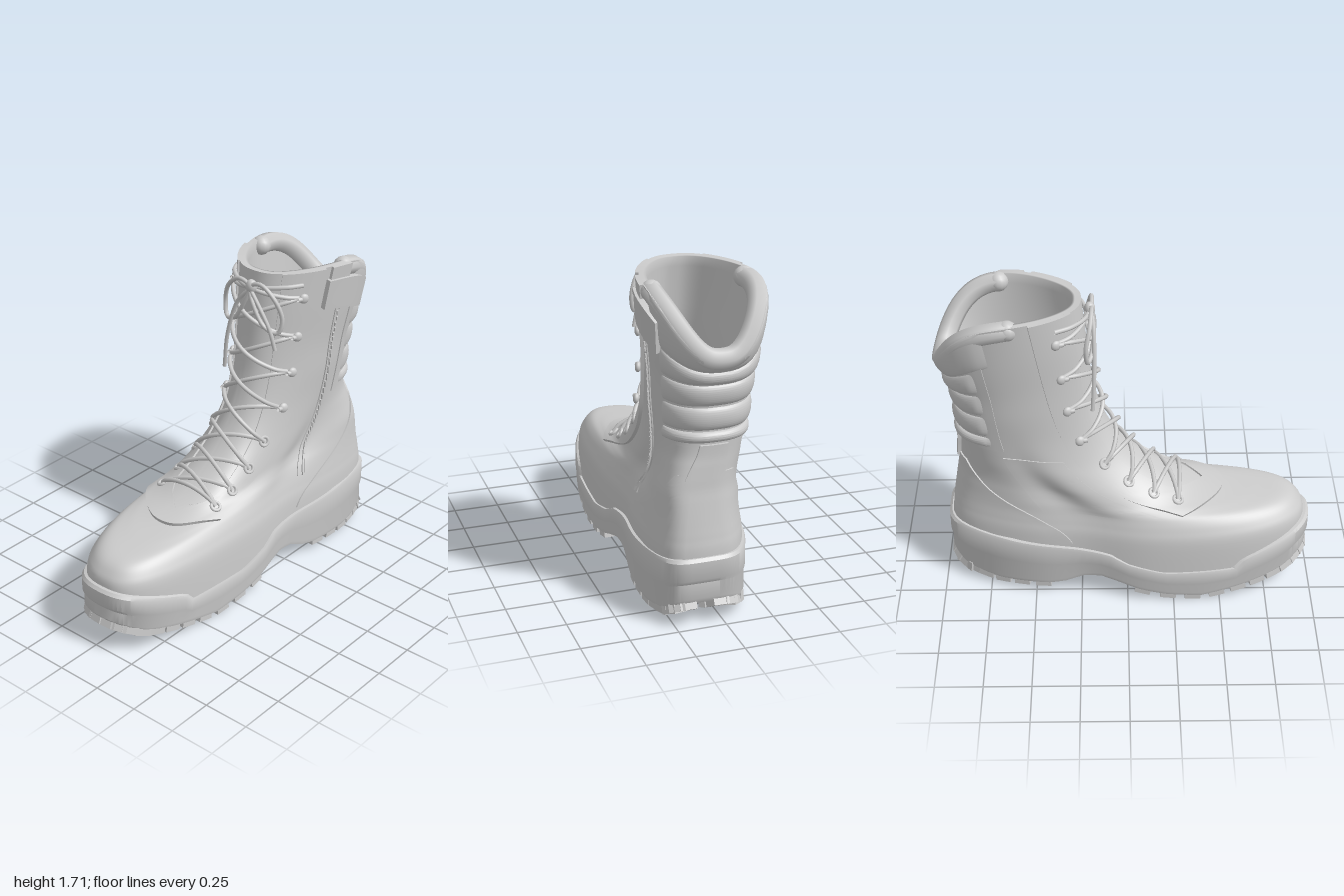
import * as THREE from 'three';
import { toCreasedNormals } from 'three/addons/utils/BufferGeometryUtils.js';
import { RoundedBoxGeometry } from 'three/addons/geometries/RoundedBoxGeometry.js';

const mat = new THREE.MeshStandardMaterial({ color: 0xcccccc, side: THREE.DoubleSide, roughness: 0.8 });
const { lerp, clamp, smoothstep } = THREE.MathUtils;
const V = (x, y, z) => new THREE.Vector3(x, y, z);
const PI = Math.PI;

// Rings of the upper: front z, front y, back z, back y, front/mid/back half-width, droop
const RINGS = [
  [0.96, 0.14, -0.95, 0.20, 0.375, 0.325, 0.31, 1], [0.97, 0.36, -0.95, 0.38, 0.365, 0.315, 0.305, 1],
  [0.94, 0.44, -0.94, 0.46, 0.33, 0.295, 0.295, 1], [0.87, 0.49, -0.93, 0.52, 0.28, 0.275, 0.285, 1],
  [0.72, 0.508, -0.92, 0.58, 0.24, 0.26, 0.275, 1], [0.55, 0.525, -0.91, 0.64, 0.225, 0.245, 0.27, 1],
  [0.40, 0.555, -0.90, 0.70, 0.22, 0.235, 0.265, 1], [0.25, 0.61, -0.895, 0.76, 0.22, 0.23, 0.26, 1],
  [0.10, 0.70, -0.89, 0.82, 0.215, 0.225, 0.26, 1], [-0.02, 0.81, -0.885, 0.88, 0.205, 0.22, 0.26, 1],
  [-0.11, 0.95, -0.885, 0.97, 0.195, 0.22, 0.265, 1], [-0.17, 1.12, -0.89, 1.09, 0.19, 0.23, 0.27, 1],
  [-0.20, 1.30, -0.905, 1.22, 0.195, 0.24, 0.285, 1.3], [-0.22, 1.50, -0.94, 1.31, 0.21, 0.265, 0.305, 3],
  [-0.24, 1.70, -0.985, 1.40, 0.22, 0.29, 0.325, 6],
];
const TOP = RINGS.length - 1;

function ringAt(v) {
  const i = Math.min(Math.floor(v), TOP - 1), t = v - i;
  const [a, b, c, d] = [-1, 0, 1, 2].map(k => RINGS[clamp(i + k, 0, TOP)]);
  return b.map((p, k) => p + 0.5 * t * (c[k] - a[k] + t * (2 * a[k] - 5 * p + 4 * c[k] - d[k] + t * (3 * (p - c[k]) + d[k] - a[k]))));
}
// Blunt oval: angle 0 is the toe, PI the heel. "foot" blends from the straight
// shaft (0) to the curved foot with its waist and square, outset heel (1)
function oval([zf, yf, zb, yb, wa, wb, wc, e], th, foot) {
  const f = (1 - Math.cos(th)) / 2, s = Math.sin(th);
  const waist = 0.035 * foot * Math.exp(-(((f - 0.62) / 0.11) ** 2));
  const w = wa * 2 * (f - 0.5) * (f - 1) + wb * 4 * f * (1 - f) + wc * 2 * f * (f - 0.5) - waist;
  const bend = 0.03 - 0.27 * f + 0.45 * f * f - 0.11 * f ** 3;
  const x = Math.sign(s) * Math.abs(s) ** (0.8 - 0.3 * f * foot) * w + lerp(0.024, bend, foot);
  return V(x, lerp(yf, yb, f ** e), lerp(zf, zb, f));
}
const skin = (v, th) => oval(ringAt(clamp(v, 0, TOP)), th, 1 - smoothstep(v, 5.5, 11));
function normal(v, th) {
  const du = skin(v, th + 0.03).sub(skin(v, th - 0.03));
  const dv = skin(Math.min(v + 0.05, TOP), th).sub(skin(Math.max(v - 0.05, 0), th));
  return du.cross(dv).normalize();
}
const on = (v, th, off = 0) => skin(v, th).addScaledVector(normal(v, th), off);

// Surface from a rule over a grid; wraps in the first direction if asked
function grid(fn, nu, nv, wrap = false) {
  const pos = [], idx = [], row = wrap ? nu : nu + 1;
  for (let j = 0; j <= nv; j++) for (let i = 0; i < row; i++) pos.push(...fn(i, j).toArray());
  for (let j = 0; j < nv; j++) for (let i = 0; i < nu; i++) {
    const a = j * row + i, b = j * row + (i + 1) % row, c = a + row, d = b + row;
    idx.push(a, b, d, a, d, c);
  }
  const g = new THREE.BufferGeometry();
  g.setAttribute('position', new THREE.Float32BufferAttribute(pos, 3));
  g.setIndex(idx);
  g.computeVertexNormals();
  return g;
}
function table(pts, z) {
  for (let i = 0; i < pts.length - 1; i++) {
    const [z0, y0] = pts[i], [z1, y1] = pts[i + 1];
    if (z >= z1) return lerp(y0, y1, clamp((z0 - z) / (z0 - z1), 0, 1));
  }
  return pts[pts.length - 1][1];
}
const soleTop = z => table([[1, 0.37], [0.64, 0.25], [0.6, 0.2], [0.2, 0.195], [0, 0.24], [-0.1, 0.29], [-0.3, 0.31], [-0.6, 0.33], [-0.98, 0.37]], z);
const soleLow = z => table([[1, 0.15], [0.85, 0.09], [0.6, 0.04], [0.4, 0.003], [0.2, 0.02], [0.05, 0.05], [-0.05, 0.085], [-0.15, 0.11],
  [-0.25, 0.095], [-0.33, 0.055], [-0.42, 0.035], [-0.7, 0.025], [-0.88, 0.05], [-0.98, 0.11]], z);
const soleEdge = th => oval([1, 0, -0.98, 0, 0.39, 0.34, 0.33, 1], th, 1);

export function createModel() {
  const boot = new THREE.Group();
  const add = (name, geo, parent = boot) => {
    const m = new THREE.Mesh(geo, mat);
    m.name = name;
    parent.add(m);
    return m;
  };
  const group = name => { const g = new THREE.Group(); g.name = name; boot.add(g); return g; };
  const tube = (name, pts, r, parent, closed = false) =>
    add(name, new THREE.TubeGeometry(new THREE.CatmullRomCurve3(pts, closed), pts.length * 5, r, 7, closed), parent);
  const place = (m, v, th, off) => {
    m.position.copy(on(v, th, off));
    m.quaternion.setFromUnitVectors(V(0, 0, 1), normal(v, th));
    return m;
  };
  // Raised panel lying on the upper, flat or padded; its borders may be numbers or rules
  const patch = (name, v0, v1, a, b, d, padded = false) => {
    const nu = 24, nv = 48, val = (f, k) => typeof f === 'function' ? f(k) : f;
    const geo = grid((i, j) => {
      const u = clamp((i - 1) / (nu - 2), 0, 1), t = clamp((j - 1) / (nv - 2), 0, 1), v = lerp(val(v0, u), v1, t);
      const rim = i === 0 || j === 0 || i === nu || j === nv;
      const puff = padded ? Math.sqrt(4 * t * (1 - t)) * (4 * u * (1 - u)) ** 0.25 : 1;
      return on(v, lerp(val(a, v), val(b, v), u), rim ? -0.012 : d * puff);
    }, nu, nv);
    return add(name, toCreasedNormals(geo, 0.7));
  };

  // Upper, lining and insole
  add('upper', grid((i, j) => skin(j / 5, i / 96 * 2 * PI), 96, TOP * 5, true));
  add('lining', grid((i, j) => {
    const th = i / 96 * 2 * PI;
    return j < 4 ? on(TOP, th, -0.035 * j / 3) : on(lerp(TOP, 1, (j - 3) / 40), th, -0.035);
  }, 96, 43, true));
  add('insole', grid((i, j) => {
    const p = on(1, i / 48 * 2 * PI, -0.03), s = [1, 0.8, 0.77, 0.02][j];
    return V(p.x * s, j < 2 ? 0.37 : 0.385, p.z * s);
  }, 48, 3, true));

  // Panels
  patch('tongue', 5.9, TOP, -0.54, 0.54, 0.008);
  const inner = v => 0.54 * smoothstep(v, 6, 6.6);
  const outer = v => 1.15 + 0.1 * smoothstep(v, 10, TOP);
  const hem = u => 5.2 - 1.7 * u ** 2.5;
  patch('leftEyestay', hem, TOP, inner, outer, 0.018);
  patch('rightEyestay', u => hem(1 - u), TOP, v => -outer(v), v => -inner(v), 0.018);
  const heel = v => 1.35 - 0.13 * v;
  patch('heelCounter', 0.8, 7.4, v => PI - heel(v), v => PI + heel(v), 0.008);
  patch('heelPanel', 9.5, 13.1, PI - 1.15, PI + 1.15, 0.006);
  for (const [a, b] of [[9.7, 10.25], [10.3, 11.25], [11.3, 12.2], [12.25, 13.05]])
    patch('heelPad', a, b, PI - 1.02, PI + 1.02, 0.03, true);
  patch('heelPullTab', 7, 9.6, PI - 0.17, PI + 0.17, 0.02);
  patch('collarPad', 13.05, TOP, PI - 1.25, PI + 1.25, 0.022, true);
  patch('sidePanel', 3.2, 9, -2.05, -1.3, 0.006);

  // Padded collar around the back of the opening
  const rim = Array.from({ length: 25 }, (_, i) => on(TOP, lerp(1.7, 2 * PI - 1.5, i / 24), -0.042).add(V(0, -0.04, 0)));
  tube('collarRoll', rim, 0.053);
  for (const p of [rim[0], rim[24]]) add('collarEnd', new THREE.SphereGeometry(0.053, 14, 10)).position.copy(p);

  // Side zipper with its flap
  const zipTh = v => lerp(1.97, 1.66, (v - 3) / 10);
  patch('zipperTape', 3, 13, v => zipTh(v) - 0.05, v => zipTh(v) + 0.05, 0.006);
  const zip = group('zipperTeeth');
  for (let i = 0; i < 64; i++) {
    const v = lerp(3.1, 12.9, i / 63);
    place(add('tooth', new THREE.BoxGeometry(0.009, 0.022, 0.012), zip), v, zipTh(v) + (i % 2 ? 0.008 : -0.008), 0.008);
  }
  patch('zipperFlap', 12.92, 13.6, 1.32, 2.2, 0.032);
  patch('zipperGarage', 13.6, TOP, 1.36, 1.72, 0.018);

  // Sole: wall rows from the top edge under to the middle
  const rows = [[0.88, 't', 0], [0.985, 't', 0], [1, 't', -0.015], [1, 'm', 0.02], [0.985, 'm', 0], [0.99, 'b', 0.05],
    [0.975, 'b', 0.03], [0.85, 'b', 0.035], [0.5, 'b', 0.055], [0.01, 'b', 0.06]];
  add('sole', toCreasedNormals(grid((i, j) => {
    const p = soleEdge(i / 120 * 2 * PI), [s, kind, dy] = rows[rows.length - 1 - j];
    const x = p.x * s, z = p.z * Math.max(s, 0.85), t = soleTop(p.z), b = soleLow(z);
    return V(x, (kind === 't' ? t : kind === 'b' ? b : lerp(b, t, 0.5)) + dy, z);
  }, 120, rows.length - 1, true), 0.6));

  // Tread: blocks round the edge, angled bars inside
  const tread = group('tread');
  const lug = (x, z, w, d, turn) => {
    const m = add('lug', new THREE.BoxGeometry(w, 0.055, d), tread);
    m.position.set(x, soleLow(z) + 0.03, z);
    m.rotation.set(Math.atan2(soleLow(z - 0.03) - soleLow(z + 0.03), 0.06), turn, 0, 'XYZ');
  };
  const inArch = z => z < 0.02 && z > -0.36;
  for (let i = 0; i < 44; i++) {
    const th = (i + 0.5) / 44 * 2 * PI, p = soleEdge(th);
    const t = soleEdge(th + 0.03).sub(soleEdge(th - 0.03)).normalize();
    const c = p.clone().add(V(t.z, 0, -t.x).multiplyScalar(0.06));
    if (!inArch(c.z)) lug(c.x, c.z, 0.085, 0.1, Math.atan2(-t.z, t.x));
  }
  for (let r = 0; r < 14; r++) for (const k of [-1, 0, 1]) {
    const z = -0.83 + r * 0.13, x = k * 0.125 + (r % 2 ? 0.03 : -0.03) + (z < -0.3 ? 0.07 : 0);
    if (!inArch(z)) lug(x, z, 0.035, 0.13, (r + k) % 2 ? 0.8 : -0.8);
  }
  for (const z of [-0.08, -0.16, -0.24]) {
    const rib = add('archRib', new RoundedBoxGeometry(0.36, 0.03, 0.03, 2, 0.01), tread);
    rib.position.set(0.01, soleLow(z) + 0.05, z);
  }

  // Eyelets low down, hooks higher up
  const rowsV = [5.5, 6.55, 7.6, 8.75, 10, 11.2, 12.3, 13.3];
  const laceTh = v => lerp(0.8, 0.9, smoothstep(v, 8.75, 10.5));
  const hardware = group('laceHardware');
  rowsV.forEach((v, i) => {
    const th = laceTh(v);
    for (const s of [-1, 1]) {
      if (i < 4) place(add('eyelet', new THREE.TorusGeometry(0.024, 0.009, 8, 18), hardware), v, s * th, 0.022);
      else {
        tube('hookStem', [on(v, s * th, 0.01), on(v, s * th, 0.035), on(v, s * (th - 0.08), 0.045)], 0.013, hardware);
        place(add('hookCap', new THREE.SphereGeometry(0.027, 14, 10), hardware), v, s * (th + 0.03), 0.035).scale.z = 0.6;
      }
    }
  });

  // Criss-cross laces arching straight over the tongue
  const laces = group('laces');
  const strand = (va, vb, s, lift) => {
    const a = on(va, -s * laceTh(va), 0.022), b = on(vb, s * laceTh(vb), 0.022);
    const out = normal((va + vb) / 2, 0), rise = lerp(0.055, 0.15, smoothstep(va, 5, 10)) + lift;
    tube('lace', Array.from({ length: 13 }, (_, k) =>
      a.clone().lerp(b, k / 12).addScaledVector(out, rise * Math.max(0, Math.sin(PI * k / 12)) ** 0.65)), 0.012, laces);
  };
  strand(rowsV[0], rowsV[0], 1, 0.01);
  for (let i = 0; i < 7; i++) {
    strand(rowsV[i], rowsV[i + 1], 1, 0);
    strand(rowsV[i], rowsV[i + 1], -1, 0.02);
  }
  strand(rowsV[7], 13.6, 1, 0);
  strand(rowsV[7], 13.6, -1, 0.01);

  // Bow: knot, two loops, two hanging ends
  const cx = 0.04, bow = (pts, s) => pts.map(([x, y, z]) => V(cx + s * x, y, z));
  const knot = add('bowKnot', new THREE.SphereGeometry(0.032, 14, 10), laces);
  knot.position.set(cx, 1.63, -0.19);
  knot.scale.set(1, 1.2, 0.9);
  for (const s of [-1, 1]) {
    tube('bowLoop', bow([[0, 1.63, -0.18], [0.07, 1.66, -0.18], [0.15, 1.6, -0.19], [0.19, 1.49, -0.21], [0.17, 1.41, -0.2],
      [0.1, 1.43, -0.18], [0.03, 1.54, -0.17]], s), 0.012, laces, true);
    const drop = s < 0 ? 1.12 : 1.32;
    tube('laceEnd', bow([[0, 1.62, -0.18], [0.07, 1.54, -0.17], [0.14, lerp(1.54, drop, 0.5), -0.17], [0.17, drop, -0.18]], s), 0.011, laces);
  }
  return boot;
}
